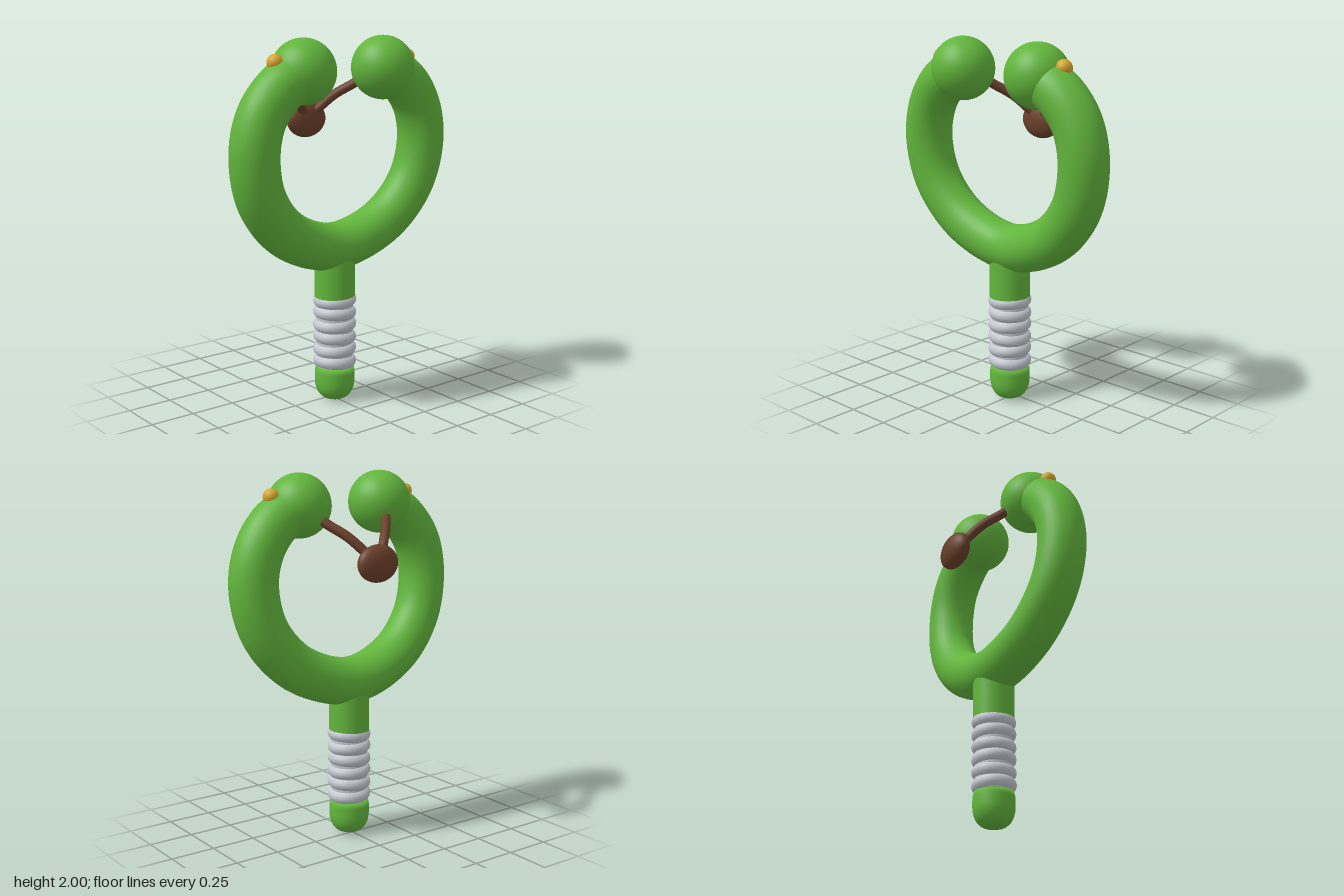
import * as THREE from 'three';

export function createModel() {
  const model = new THREE.Group();
  const mat = (name, color) => {
    const m = new THREE.MeshStandardMaterial({ color });
    m.name = name;
    return m;
  };
  const green = mat('green', 0x62b53c);
  const brown = mat('brown', 0x6b402b);
  const silver = mat('silver', 0xc4c8d0);
  const gold = mat('gold', 0xd9a62e);
  const axisZ = 0.03; // depth of the handle axis

  const add = (name, geometry, material, x = 0, y = 0, z = 0) => {
    const mesh = new THREE.Mesh(geometry, material);
    mesh.name = name;
    mesh.position.set(x, y, z);
    model.add(mesh);
    return mesh;
  };
  const curveOf = (points) =>
    new THREE.CatmullRomCurve3(points.map((p) => new THREE.Vector3(...p)));

  // Open ring, leaning forward towards its tips
  const half = [
    [0.265, 1.82, 0.11], [0.41, 1.75, 0.11], [0.52, 1.61, 0.1], [0.56, 1.42, 0.093],
    [0.505, 1.18, 0.075], [0.32, 0.975, 0.05],
  ];
  const mirrored = half.map(([x, y, z]) => [-x, y, z]).reverse();
  const ringPath = curveOf([...half, [0, 0.872, axisZ], ...mirrored]);
  add('ring', new THREE.TubeGeometry(ringPath, 120, 0.13, 32), green);

  // Handle with a rounded foot
  const foot = new THREE.CubicBezierCurve(
    new THREE.Vector2(0.045, 0.005), new THREE.Vector2(0.085, 0.015),
    new THREE.Vector2(0.11, 0.055), new THREE.Vector2(0.111, 0.11)
  ).getPoints(10);
  const handleProfile = [
    new THREE.Vector2(0, 0), ...foot,
    new THREE.Vector2(0.111, 0.16), new THREE.Vector2(0.106, 0.19), new THREE.Vector2(0, 0.2),
  ];
  add('handleFoot', new THREE.LatheGeometry(handleProfile, 32), green, 0, 0, axisZ);
  add('handleNeck', new THREE.CylinderGeometry(0.111, 0.111, 0.26, 32), green, 0, 0.72, axisZ);

  // Wrapped grip: stacked loops, tilted alternately
  add('gripCore', new THREE.CylinderGeometry(0.1, 0.1, 0.4, 32), silver, 0, 0.395, axisZ);
  const loop = new THREE.TorusGeometry(0.082, 0.037, 14, 36).rotateX(Math.PI / 2);
  for (let i = 0; i < 6; i++) {
    const wrap = add('gripLoop', loop, silver, 0, 0.225 + i * 0.0695, axisZ);
    wrap.rotation.z = i % 2 ? 0.05 : -0.05;
  }

  // Tip balls, studs and pouch straps on both sides
  for (const s of [1, -1]) {
    const side = s > 0 ? 'left' : 'right';
    add(side + 'TipBall', new THREE.SphereGeometry(0.171, 40, 28), green, s * 0.265, 1.829, 0.109);
    add(side + 'Stud', new THREE.SphereGeometry(0.044, 20, 14), gold, s * 0.437, 1.881, 0.106);
    const strapPath = curveOf([
      [s * 0.24, 1.79, 0.02], [s * 0.19, 1.737, -0.045],
      [s * 0.12, 1.675, -0.125], [s * 0.04, 1.58, -0.2],
    ]);
    add(side + 'Strap', new THREE.TubeGeometry(strapPath, 24, 0.026, 12), brown);
  }

  // Pouch
  const pouch = add('pouch', new THREE.SphereGeometry(1, 36, 24), brown, 0, 1.54, -0.223);
  pouch.scale.set(0.126, 0.1, 0.058);

  return model;
}
